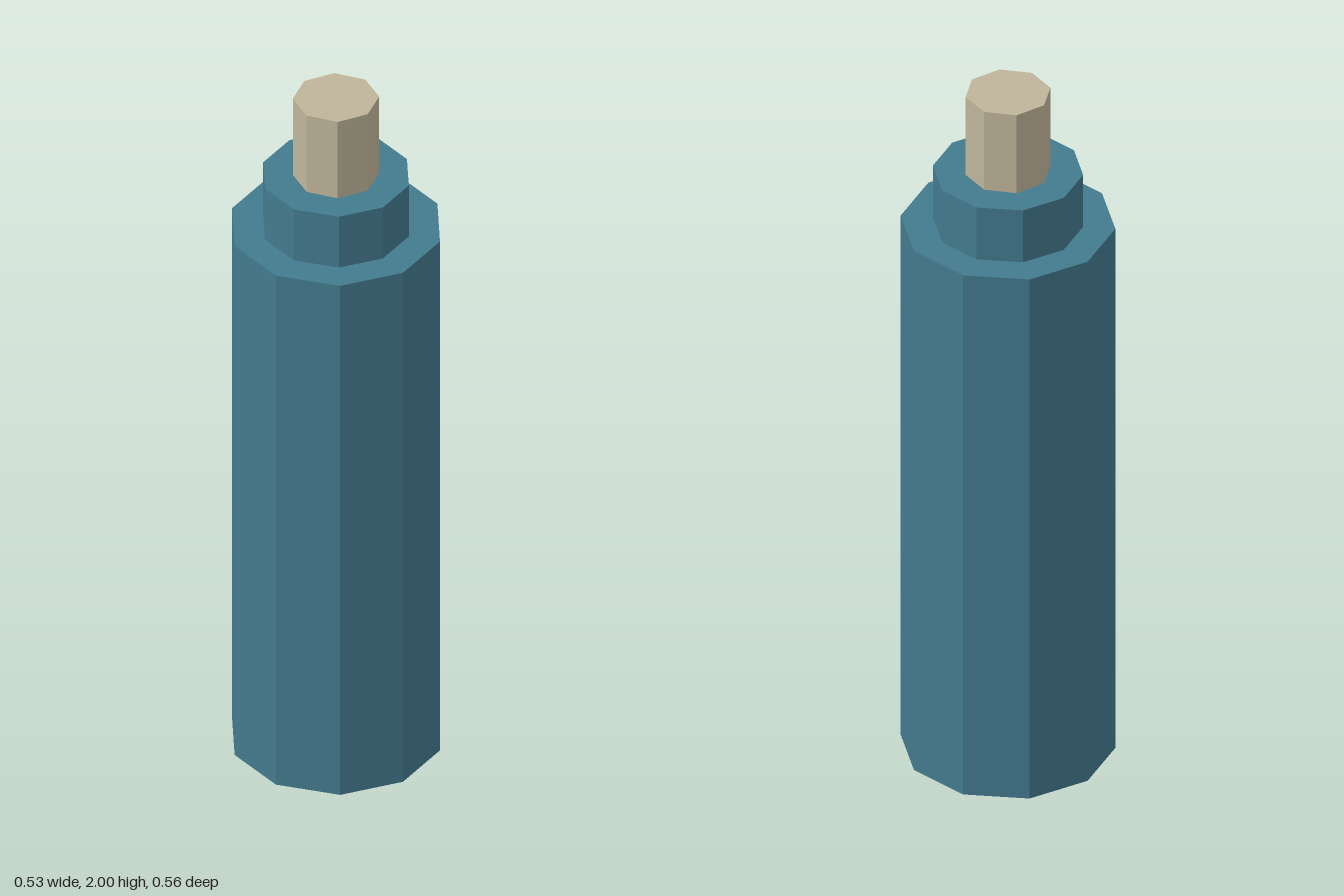
import * as THREE from 'three';

export function createModel() {
  const group = new THREE.Group();
  const teal = new THREE.MeshStandardMaterial({ color: 0x437a8e, flatShading: true });
  teal.name = 'teal';
  const tan = new THREE.MeshStandardMaterial({ color: 0xbfb59a, flatShading: true });
  tan.name = 'tan';

  // Upright faceted cylinder between two heights
  function column(name, radius, bottom, top, sides, material) {
    const height = top - bottom;
    const mesh = new THREE.Mesh(new THREE.CylinderGeometry(radius, radius, height, sides), material);
    mesh.position.y = bottom + height / 2;
    mesh.name = name;
    group.add(mesh);
  }

  column('body', 0.28, 0, 1.6, 10, teal);
  column('collar', 0.196, 1.6, 1.76, 10, teal);
  column('tip', 0.112, 1.76, 2, 8, tan);

  return group;
}
